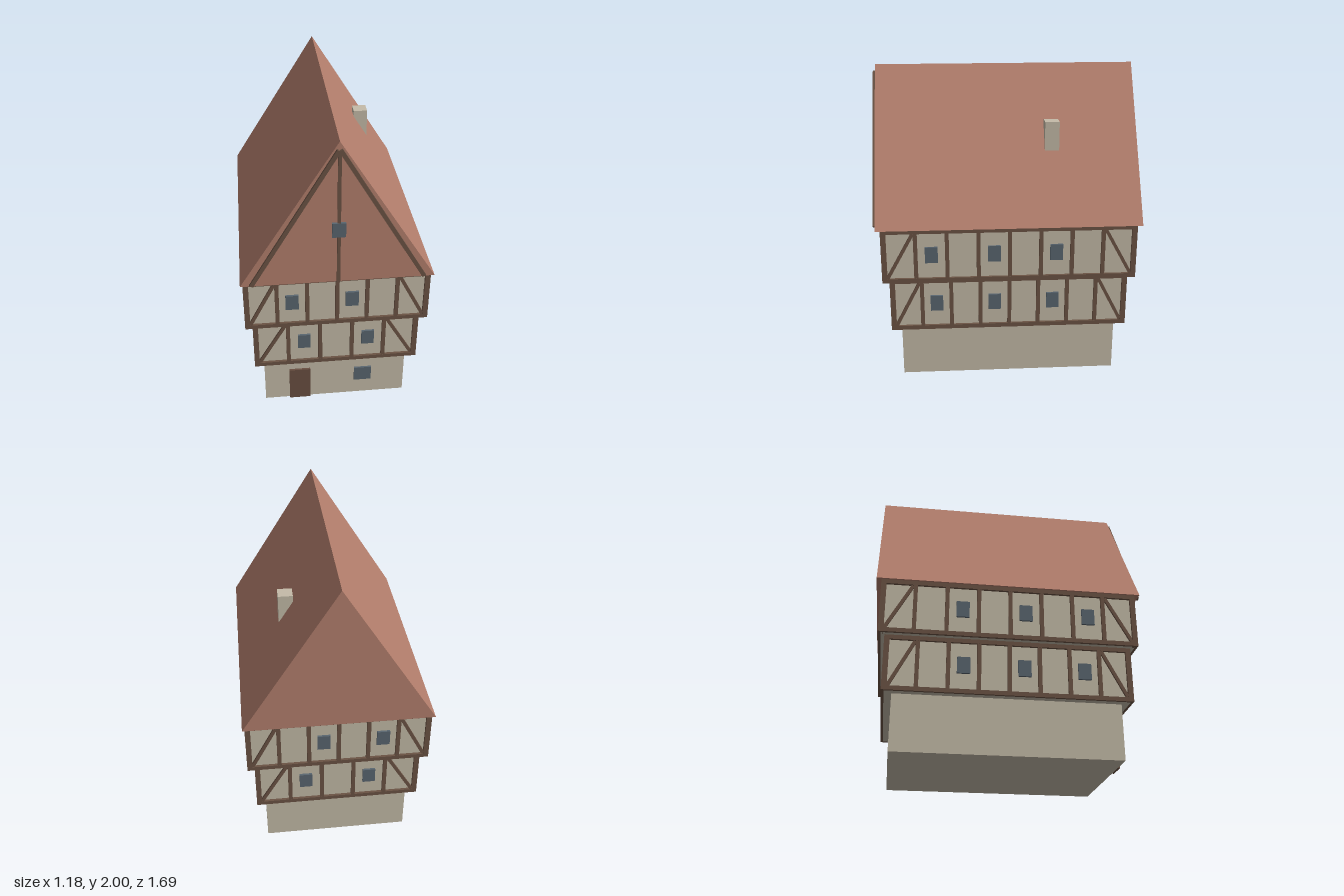
import * as THREE from 'three';

const mat = (name, color) => {
  const m = new THREE.MeshStandardMaterial({ color });
  m.name = name;
  return m;
};

export function createModel() {
  const plaster = mat('plaster', 0xc4bba8);
  const timber = mat('timber', 0x6b5344);
  const tile = mat('roof tile', 0xb47f6d);
  const glass = mat('window glass', 0x5a6670);
  const doorWood = mat('door wood', 0x6a4f41);

  const house = new THREE.Group();
  house.name = 'timberFramedHouse';
  const body = new THREE.Group();
  body.name = 'body';
  body.position.z = -0.0075;
  house.add(body);

  const box = (parent, name, material, w, h, d, x, y, z) => {
    const m = new THREE.Mesh(new THREE.BoxGeometry(w, h, d), material);
    m.name = name;
    m.position.set(x, y, z);
    parent.add(m);
    return m;
  };

  // Slanted beam between two points in the wall plane
  const beam = (parent, name, x1, y1, x2, y2, w, d, z) => {
    const m = box(parent, name, timber, w, Math.hypot(x2 - x1, y2 - y1), d, (x1 + x2) / 2, (y1 + y2) / 2, z);
    m.rotation.z = -Math.atan2(x2 - x1, y2 - y1);
    return m;
  };

  const OUT = 0.0165; // how far the timbers stand proud of the plaster

  // One timber-framed wall, drawn facing +z at distance dist
  function framedWall(parent, name, half, dist, y0, h, bays, windowBays, angle) {
    const wall = new THREE.Group();
    wall.name = name;
    wall.rotation.y = angle;
    parent.add(wall);
    const bay = (2 * half) / bays;
    const z = dist + OUT / 2;
    for (const [label, y] of [['sillBeam', y0 + 0.0135], ['topBeam', y0 + h - 0.0135]]) {
      box(wall, label, timber, 2 * half, 0.027, OUT, 0, y, z);
    }
    for (let i = 1; i < bays; i++) {
      box(wall, 'post', timber, 0.025, h - 0.054, OUT - 0.001, -half + i * bay, y0 + h / 2, z);
    }
    // Diagonal braces in the end bays
    for (const s of [-1, 1]) {
      beam(wall, 'brace', s * (half - 0.018), y0 + 0.028, s * (half - bay + 0.016), y0 + h - 0.03,
        0.021, OUT - 0.003, z - 0.0015);
    }
    for (const i of windowBays) {
      box(wall, 'window', glass, 0.081, 0.105, 0.014, -half + (i + 0.5) * bay, y0 + 0.183, dist + 0.007);
    }
  }

  function storey(name, hx, hz, y0, h, frontBays, sideBays) {
    const g = new THREE.Group();
    g.name = name;
    body.add(g);
    box(g, 'plasterWalls', plaster, 2 * hx, h, 2 * hz, 0, y0 + h / 2, 0);
    const flip = (list, n) => list.map((i) => n - 1 - i);
    const fw = [1, 3];
    const sw = [1, 3, 5];
    framedWall(g, 'frontWall', hx, hz, y0, h, frontBays, fw, 0);
    framedWall(g, 'backWall', hx, hz, y0, h, frontBays, flip(fw, frontBays), Math.PI);
    framedWall(g, 'rightWall', hz, hx, y0, h, sideBays, sw, Math.PI / 2);
    framedWall(g, 'leftWall', hz, hx, y0, h, sideBays, flip(sw, sideBays), -Math.PI / 2);
    for (const sx of [-1, 1]) {
      for (const sz of [-1, 1]) {
        box(g, 'cornerPost', timber, 2 * OUT, h, 2 * OUT, sx * hx, y0 + h / 2, sz * hz);
      }
    }
  }

  // Plain ground floor with door and window
  box(body, 'groundFloor', plaster, 0.94, 0.355, 1.41, 0, 0.1775, 0);
  box(body, 'door', doorWood, 0.14, 0.25, 0.014, -0.236, 0.125, 0.712);
  box(body, 'groundWindow', glass, 0.115, 0.108, 0.012, 0.188, 0.175, 0.711);

  // Two jettied storeys
  storey('middleStorey', 0.514, 0.751, 0.355, 0.355, 5, 8);
  storey('upperStorey', 0.5585, 0.791, 0.71, 0.355, 6, 8);

  // Roof prism
  const EAVES = 1.065;
  const HALF = 0.8375;
  const gable = new THREE.Shape([
    new THREE.Vector2(-0.589, EAVES),
    new THREE.Vector2(0.589, EAVES),
    new THREE.Vector2(0, 2),
  ]);
  const roofGeo = new THREE.ExtrudeGeometry(gable, { depth: 2 * HALF, bevelEnabled: false });
  roofGeo.translate(0, 0, -HALF);
  const roof = new THREE.Mesh(roofGeo, tile);
  roof.name = 'roof';
  body.add(roof);

  // Front gable timbers and window
  const gz = HALF + 0.0075;
  for (const s of [-1, 1]) {
    beam(body, 'gableRafter', s * 0.522, 1.073, s * 0.005, 1.95, 0.025, 0.015, gz);
  }
  box(body, 'gablePost', timber, 0.02, 0.88, 0.014, 0, EAVES + 0.44, gz - 0.0005);
  box(body, 'gableWindow', glass, 0.081, 0.095, 0.018, 0, 1.438, gz);

  // Chimney rising out of the right slope
  box(body, 'chimney', plaster, 0.092, 0.275, 0.092, 0.275, 1.5375, -0.285);

  return house;
}
